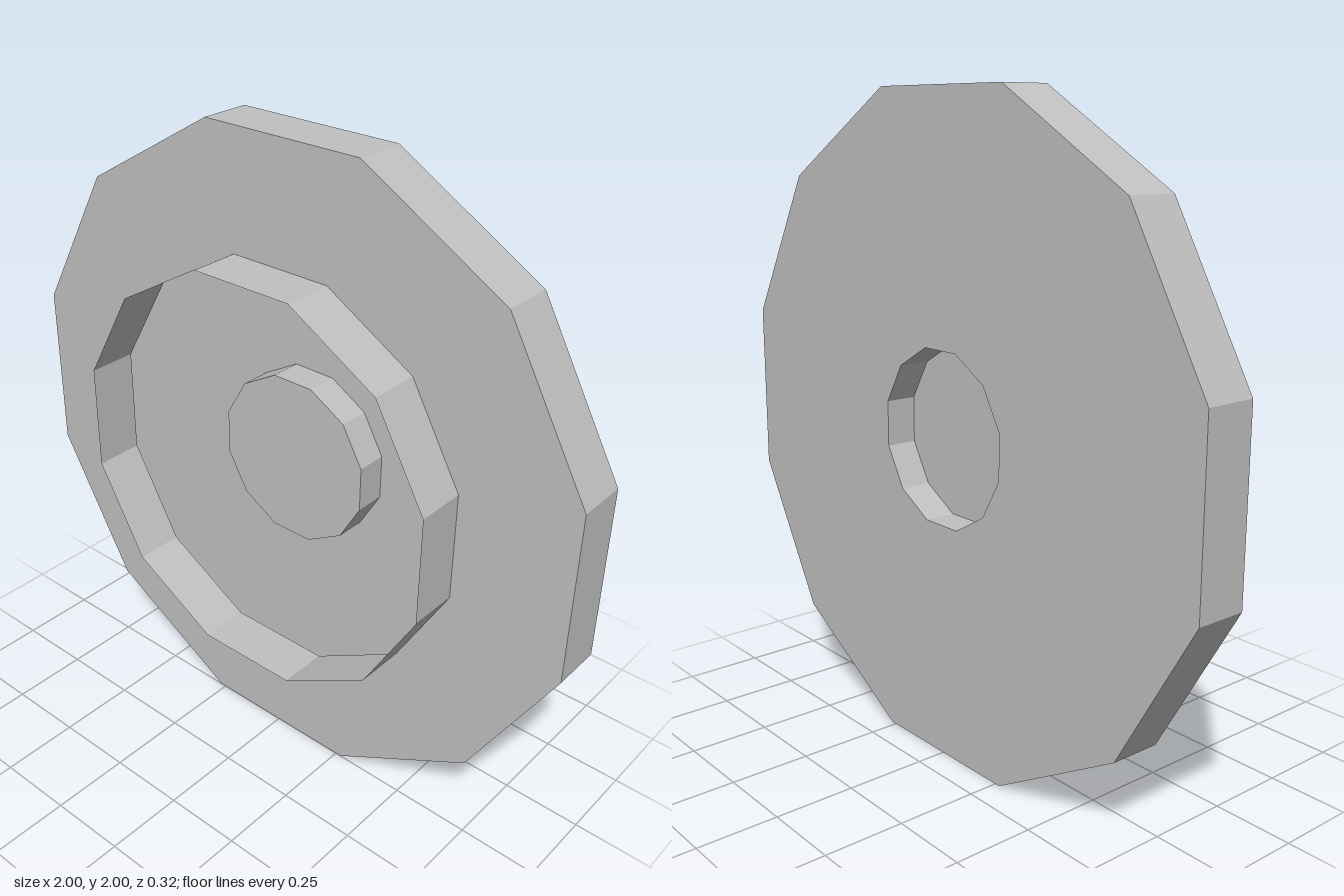
import * as THREE from 'three';

const SIDES = 12;
const TURN = Math.PI / SIDES; // puts a flat side at the top

export function createModel() {
  const model = new THREE.Group();
  model.name = 'steppedDisc';
  const grey = new THREE.MeshStandardMaterial({ color: 0xc0c0c0, side: THREE.DoubleSide });
  grey.name = 'grey';

  const add = (name, geometry) => {
    const flat = geometry.toNonIndexed(); // facets keep their own normals
    flat.computeVertexNormals();
    const mesh = new THREE.Mesh(flat, grey);
    mesh.name = name;
    mesh.position.y = 1;
    model.add(mesh);
  };

  // Twelve-sided sheet between two rings, each given as [radius, z]
  const band = (name, from, to) => {
    const points = [from, to].map(([r, z]) => new THREE.Vector2(r, z));
    add(name, new THREE.LatheGeometry(points, SIDES, TURN).rotateX(Math.PI / 2));
  };

  // Corner radii from the flat-to-flat half widths
  const [rim, collar, hub] = [1, 0.633, 0.262].map((a) => a / Math.cos(TURN));
  const depth = 0.158;
  const hubFront = -0.06;

  // Hub: a cup pushed in from the back plate
  add('hubCap', new THREE.CircleGeometry(hub, SIDES, TURN).rotateY(Math.PI).translate(0, 0, hubFront));
  band('hubWall', [hub, hubFront], [hub, -depth]);

  // Hollow disc with an open collar at the front
  band('backPlate', [hub, -depth], [rim, -depth]);
  band('outerRim', [rim, -depth], [rim, 0]);
  band('frontPlate', [rim, 0], [collar, 0]);
  band('collar', [collar, 0], [collar, depth]);

  return model;
}
